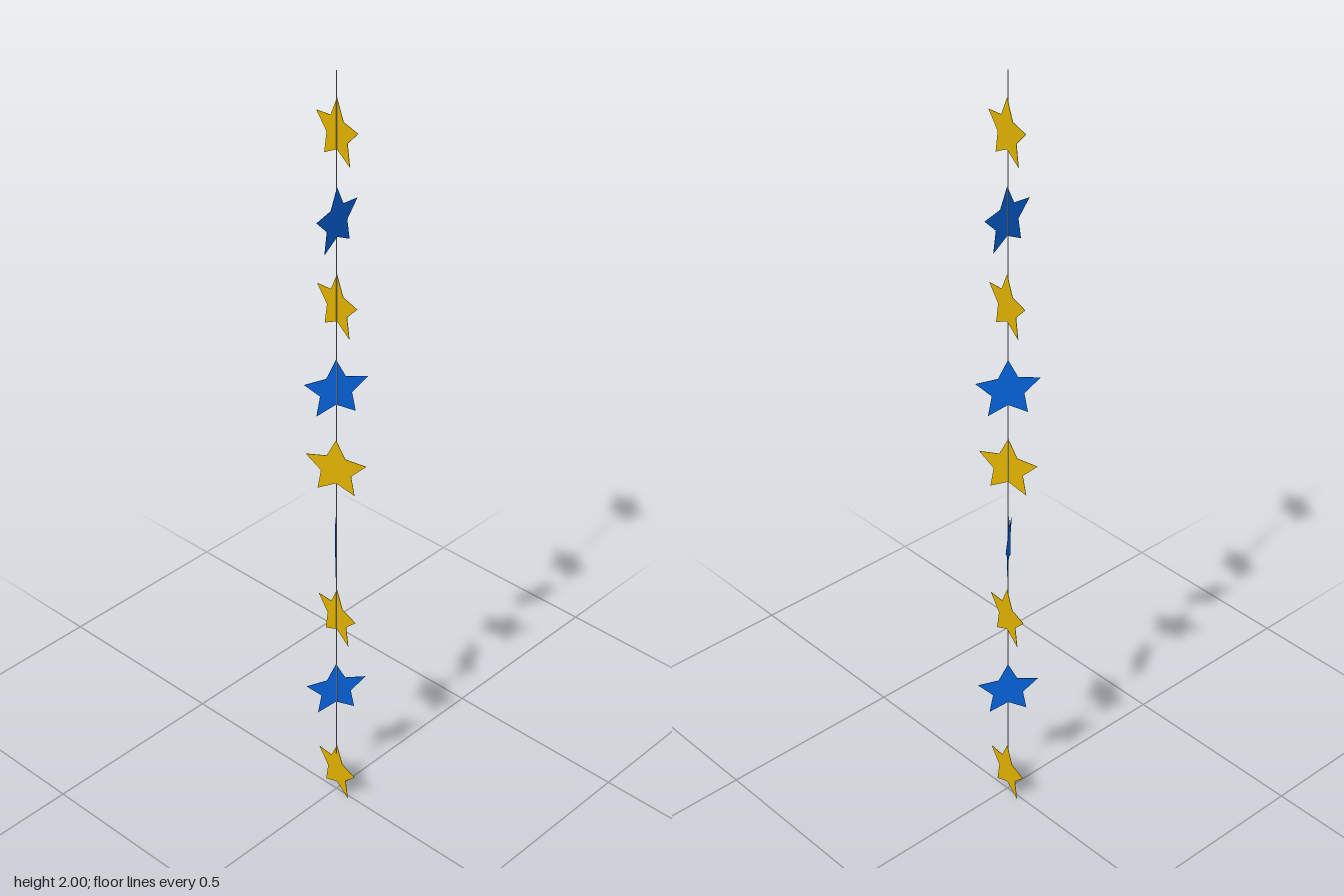
import * as THREE from 'three';

const gold = new THREE.MeshStandardMaterial({ name: 'gold', color: 0xe0b200 });
const blue = new THREE.MeshStandardMaterial({ name: 'blue', color: 0x0568e4 });
const pale = new THREE.MeshStandardMaterial({ name: 'stringPale', color: 0xd4d4d4 });

const R = 0.08;
const THICKNESS = 0.001;

// Thin five-pointed star, centred on its own thickness
function starGeometry() {
  const points = [];
  for (let i = 0; i < 10; i++) {
    const r = i % 2 ? R * 0.5 : R;
    const a = Math.PI / 2 + (i * Math.PI) / 5;
    points.push(new THREE.Vector2(r * Math.cos(a), r * Math.sin(a)));
  }
  const geometry = new THREE.ExtrudeGeometry(new THREE.Shape(points), { depth: THICKNESS, bevelEnabled: false });
  return geometry.translate(0, 0, -THICKNESS / 2);
}

export function createModel() {
  const group = new THREE.Group();
  group.name = 'starGarland';

  // Hanging string, ending at the lowest star
  const bottom = 0.12;
  const string = new THREE.Mesh(new THREE.CylinderGeometry(0.0011, 0.0011, 2 - bottom, 6), pale);
  string.name = 'string';
  string.position.set(-0.001, (2 + bottom) / 2, 0);
  group.add(string);

  // Stars: height, turn about the string, side of the string they lie on
  const stars = [
    [1.857, 1.38, 1],
    [1.647, 0.13, 1],
    [1.432, 1.38, 1],
    [1.211, -0.55, -1],
    [0.995, -1.2, 1],
    [0.777, 0.74, -1],
    [0.56, 1.38, 1],
    [0.329, -0.55, -1],
    [0.065, 1.38, 1],
  ];
  const geometry = starGeometry();
  stars.forEach(([y, turn, side], i) => {
    const star = new THREE.Mesh(geometry, i % 2 ? blue : gold);
    star.name = i % 2 ? 'blueStar' : 'goldStar';
    star.position.set(-0.001, y, 0);
    star.rotation.y = turn;
    star.translateZ(side * 0.002);
    group.add(star);
  });
  return group;
}
